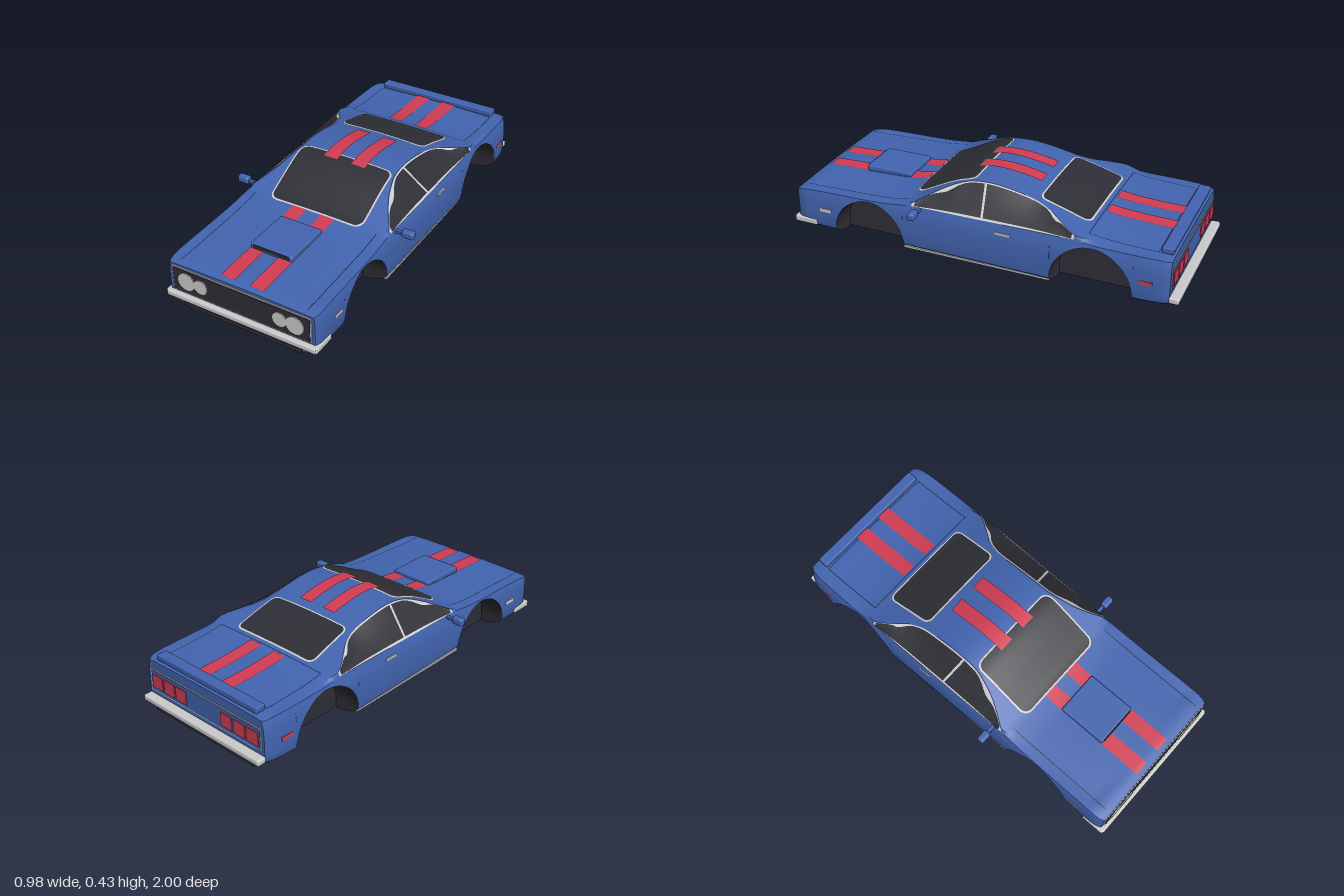
import * as THREE from 'three';
import { toCreasedNormals } from 'three/addons/utils/BufferGeometryUtils.js';
import { RoundedBoxGeometry } from 'three/addons/geometries/RoundedBoxGeometry.js';

const mat = (name, color) => Object.assign(new THREE.MeshStandardMaterial({ color, side: THREE.DoubleSide }), { name });

// smooth interpolation through [key, value] pairs with ascending keys
function curve(table) {
  const n = table.length;
  const slope = i => {
    const a = table[Math.max(i - 1, 0)], b = table[Math.min(i + 1, n - 1)];
    return (b[1] - a[1]) / (b[0] - a[0]);
  };
  return k => {
    if (k <= table[0][0]) return table[0][1];
    if (k >= table[n - 1][0]) return table[n - 1][1];
    let i = 0;
    while (k > table[i + 1][0]) i++;
    const h = table[i + 1][0] - table[i][0], t = (k - table[i][0]) / h, t2 = t * t, t3 = t2 * t;
    return table[i][1] * (2 * t3 - 3 * t2 + 1) + table[i + 1][1] * (3 * t2 - 2 * t3)
      + h * (slope(i) * (t3 - 2 * t2 + t) + slope(i + 1) * (t3 - t2));
  };
}

// body curves along z: half width, belt height, centre height, roof edge
const BACK = -0.955, FRONT = 0.975;
const halfWidth = curve([[BACK, 0.385], [-0.93, 0.402], [-0.85, 0.413], [-0.6, 0.416], [-0.3, 0.412], [0, 0.408],
  [0.5, 0.403], [0.9, 0.402], [0.95, 0.398], [FRONT, 0.387]]);
const beltY = curve([[BACK, 0.262], [-0.9, 0.27], [-0.6, 0.275], [-0.5, 0.284], [0, 0.277], [0.33, 0.272],
  [0.5, 0.256], [0.9, 0.246], [FRONT, 0.235]]);
const centreY = curve([[BACK, 0.27], [-0.9, 0.279], [-0.75, 0.283], [-0.6, 0.293], [-0.5, 0.312], [-0.4, 0.343],
  [-0.3, 0.372], [-0.2, 0.396], [-0.1, 0.413], [-0.02, 0.419], [0.06, 0.413], [0.12, 0.399], [0.2, 0.364],
  [0.27, 0.327], [0.34, 0.292], [0.4, 0.278], [0.5, 0.267], [0.93, 0.251], [FRONT, 0.242]]);
const roofX = curve([[BACK, 0.35], [-0.6, 0.37], [-0.5, 0.388], [-0.4, 0.33], [-0.35, 0.295], [-0.28, 0.268],
  [-0.2, 0.262], [0.05, 0.262], [0.13, 0.28], [0.2, 0.305], [0.28, 0.35], [0.33, 0.38], [0.4, 0.365],
  [0.5, 0.35], [FRONT, 0.34]]);
const roofY = z => centreY(z) - (z > 0.9 || z < -0.9 ? 0.005 : 0.009);
const bulge = curve([[0.012, 0.74], [0.02, 0.82], [0.03, 0.89], [0.045, 0.955], [0.06, 0.99], [0.08, 1], [0.2, 1],
  [0.24, 0.985], [0.27, 0.965], [0.29, 0.955]]);
const sideX = (y, z) => halfWidth(z) * bulge(y);
const topY = (x, z) => roofY(z) + (centreY(z) - roofY(z)) * (1 - (x / roofX(z)) ** 2);

// wheel arches and lower edge
const arches = [{ z: 0.567, y: 0.055, r: 0.19 }, { z: -0.588, y: 0.06, r: 0.2 }];
const archAt = z => arches.find(a => Math.abs(z - a.z) <= a.r + 1e-6);
function lowY(z) {
  const a = archAt(z);
  if (a) return a.y + Math.sqrt(Math.max(0, a.r ** 2 - (z - a.z) ** 2));
  return Math.abs(z) > 0.9 ? 0.022 : 0.012;
}
const archZs = a => Array.from({ length: 33 }, (_, i) => a.z - a.r * Math.cos(Math.PI * i / 32));
const columns = Array.from({ length: 81 }, (_, i) => BACK + (FRONT - BACK) * i / 80)
  .concat(...arches.map(a => [a.z - a.r - 0.001, ...archZs(a), a.z + a.r + 0.001]), [-0.94, 0.96])
  .sort((a, b) => a - b);

// surface from rows of points
function skin(rows) {
  const w = rows[0].length, index = [];
  for (let i = 0; i < rows.length - 1; i++) for (let j = 0; j < w - 1; j++) {
    const a = i * w + j, c = a + w;
    index.push(a, a + 1, c, a + 1, c + 1, c);
  }
  const g = new THREE.BufferGeometry();
  g.setAttribute('position', new THREE.Float32BufferAttribute(rows.flat(2), 3));
  g.setIndex(index);
  return toCreasedNormals(g, 0.5);
}
const steps = n => Array.from({ length: n + 1 }, (_, i) => i / n);
const eased = n => steps(n).map(t => 0.5 - 0.5 * Math.cos(Math.PI * t));

// outline of the body across one z station
function section(z) {
  const lo = lowY(z), by = beltY(z), bx = sideX(by, z), rx = roofX(z), ry = roofY(z);
  const half = [0, 0.03, 0.07, 0.12, 0.18, 0.3, 0.5, 0.7, 0.85, 0.93, 1].map(s => {
    const y = lo + (by - lo) * s;
    return [sideX(y, z), y, z];
  });
  for (const t of [0.33, 0.67, 1]) half.push([bx + (rx - bx) * t, by + (ry - by) * t, z]);
  for (let i = 1; i <= 8; i++) half.push([rx * (1 - i / 8), topY(rx * (1 - i / 8), z), z]);
  return half.concat(half.slice(0, -1).reverse().map(([x, y, zz]) => [-x, y, zz]));
}

// thin patch lying on the hood, roof or boot
const topPatch = (z0, z1, left, right, lift) => skin(eased(24).map(u => {
  const z = z0 + (z1 - z0) * u, a = left(z), b = right(z);
  return steps(8).map(v => {
    const x = a + (b - a) * v;
    return [x, topY(x, z) + lift, z];
  });
}));
// rounded window outline: half width goes from w0 to w1
function windowPatch(z0, z1, w0, w1, r, lift) {
  const hw = z => {
    const d = Math.min(r, z - z0, z1 - z);
    return w0 + (w1 - w0) * (z - z0) / (z1 - z0) - r + Math.sqrt(Math.max(0, r * r - (r - d) ** 2));
  };
  return topPatch(z0, z1, hw, z => -hw(z), lift);
}
// point on the cabin side, t from belt to roof edge
function cabinPoint(s, z, t, lift) {
  const by = beltY(z), bx = sideX(by, z);
  return [s * (bx + (roofX(z) - bx) * t + lift * 0.75), by + (roofY(z) - by) * t + lift * 0.65, z];
}
const cabinPatch = (s, us, zAt, tLo, tHi, lift) => skin(us.map(u => {
  const row = steps(8).map(v => {
    const z = zAt(u, v), t = tLo(z) + (tHi(z) - tLo(z)) * v;
    return cabinPoint(s, z, t, lift);
  });
  return s > 0 ? row : row.reverse();
}));

export function createModel() {
  const car = new THREE.Group();
  car.name = 'carBody';
  const blue = mat('bluePaint', 0x4264b0), red = mat('redPaint', 0xd23c52), dark = mat('darkGlass', 0x2e2e36),
    silver = mat('silverTrim', 0xcbcbcb), line = mat('panelGap', 0x1c2440);
  const add = (name, geometry, material) => {
    const m = new THREE.Mesh(geometry, material);
    m.name = name;
    car.add(m);
    return m;
  };
  const box = (name, material, x0, x1, y0, y1, z0, z1, r = 0) => {
    const size = [x1 - x0, y1 - y0, z1 - z0];
    const g = r ? new RoundedBoxGeometry(...size, 3, r) : new THREE.BoxGeometry(...size);
    add(name, g, material).position.set((x0 + x1) / 2, (y0 + y1) / 2, (z0 + z1) / 2);
  };
  const sideBox = (name, material, s, x0, x1, ...rest) =>
    box(name, material, Math.min(s * x0, s * x1), Math.max(s * x0, s * x1), ...rest);

  // painted shell with closed ends
  add('bodyShell', skin(columns.map(section)), blue);
  for (const [name, z] of [['nosePanel', FRONT], ['tailPanel', BACK]]) {
    const shape = new THREE.Shape(section(z).map(p => new THREE.Vector2(z > 0 ? p[0] : -p[0], p[1])));
    const m = add(name, new THREE.ShapeGeometry(shape), blue);
    m.position.z = z;
    if (z < 0) m.rotation.y = Math.PI;
  }

  // underside, narrowed between the wheel wells
  add('floorPan', skin(columns.map(z => {
    const end = Math.abs(z) > 0.9, hx = archAt(z) ? 0.27 : sideX(lowY(z), z);
    const edge = end ? 0.022 : 0.012, mid = end ? 0.01 : 0;
    return [[-hx, edge, z], [-0.16, mid, z], [0.16, mid, z], [hx, edge, z]];
  })), dark);

  // wheel wells: arched liner and inner wall
  for (const a of arches) for (const s of [1, -1]) {
    const order = row => (s > 0 ? row : row.reverse());
    const zs = archZs(a), rim = z => sideX(lowY(z), z) - 0.002;
    const arch = zs.map(z => order([[s * 0.27, lowY(z), z], [s * rim(z), lowY(z), z]]));
    add('wheelWellLiner', skin(arch), dark);
    add('wheelWellWall', skin(zs.map(z => order([[s * 0.27, 0.012, z], [s * 0.27, lowY(z), z]]))), dark);
    for (const z of [zs[0], zs[32]])
      add('wheelWellEnd', skin([0.012, 0.03, 0.045, a.y].map(y =>
        order([[s * 0.27, y, z], [s * sideX(y, z), y, z]]))), dark);
  }

  // windscreen and rear window with bright surrounds
  add('windscreenTrim', windowPatch(0.052, 0.378, 0.257, 0.257, 0.045, 0.003), silver);
  add('windscreen', windowPatch(0.06, 0.37, 0.249, 0.249, 0.04, 0.005), dark);
  add('rearWindowTrim', windowPatch(-0.53, -0.27, 0.252, 0.242, 0.035, 0.003), silver);
  add('rearWindow', windowPatch(-0.522, -0.278, 0.244, 0.234, 0.03, 0.005), dark);

  for (const s of [1, -1]) {
    // side windows, wider trim beside the pillars
    const pillar = z => 0.17 * Math.exp(-(((z - 0.18) / 0.05) ** 2)) + 0.17 * Math.exp(-(((z + 0.385) / 0.03) ** 2));
    const span = (a, b) => u => a + (b - a) * u;
    add('sideWindowTrim', cabinPatch(s, eased(40), span(-0.5, 0.33), () => 0, () => 0.99, 0.003), silver);
    add('sideWindow', cabinPatch(s, eased(40), span(-0.488, 0.315), () => 0.06, z => 0.95 - pillar(z), 0.005), dark);
    add('doorPillar', cabinPatch(s, [0, 1], (u, v) => -0.046 + 0.03 * v + 0.012 * u, () => 0.04, () => 0.95, 0.007), silver);

    // door mirror
    sideBox('mirrorHousing', blue, s, 0.43, 0.492, 0.25, 0.289, 0.268, 0.306, 0.012);
    sideBox('mirrorStem', blue, s, 0.385, 0.435, 0.258, 0.272, 0.278, 0.296);

    // side trim, handles and marker lamps
    sideBox('rockerTrim', silver, s, 0.385, 0.4, 0.04, 0.05, -0.385, 0.375);
    sideBox('doorHandle', silver, s, 0.398, 0.409, 0.229, 0.24, -0.19, -0.115);
    sideBox('frontMarker', silver, s, 0.397, 0.406, 0.141, 0.159, 0.78, 0.842);
    sideBox('rearMarker', red, s, 0.408, 0.416, 0.141, 0.159, -0.88, -0.81);

    // racing stripes
    const a = s * 0.077 + 0.037, b = s * 0.077 - 0.037;
    for (const [z0, z1] of [[0.378, 0.95], [-0.23, 0.095], [-0.89, -0.56]])
      add('stripe', topPatch(z0, z1, () => a, () => b, z1 < 0.2 && z1 > 0 ? 0.007 : 0.004), red);

    // hood and boot lid gaps
    for (const [z0, z1, x] of [[0.37, 0.95, 0.338], [-0.88, -0.55, 0.332]])
      add('panelGap', topPatch(z0, z1, () => s * x + 0.002, () => s * x - 0.002, 0.002), line);

    // headlamps
    for (const [x, r] of [[0.29, 0.047], [0.212, 0.038]]) {
      const lamp = add('headlamp', new THREE.CylinderGeometry(r, r, 0.006, 32), silver);
      lamp.rotation.x = Math.PI / 2;
      lamp.position.set(s * x, 0.161, FRONT + 0.009);
    }
    // tail lamps
    for (let i = 0; i < 3; i++)
      sideBox('tailLamp', red, s, 0.116 + i * 0.083, 0.188 + i * 0.083, 0.128, 0.198, BACK - 0.009, BACK - 0.003);
    // front bumper ends
    sideBox('bumperEnd', silver, s, 0.385, 0.407, 0.054, 0.086, 0.87, 0.995, 0.008);
  }
  for (const z of [-0.55, -0.88])
    add('panelGap', topPatch(z - 0.002, z + 0.002, () => 0.332, () => -0.332, 0.002), line);

  // grille and tail panel frames
  box('grilleFrame', silver, -0.372, 0.372, 0.092, 0.228, FRONT - 0.001, FRONT + 0.004);
  box('grille', dark, -0.365, 0.365, 0.099, 0.221, FRONT, FRONT + 0.007);
  box('tailFrame', silver, -0.37, 0.37, 0.105, 0.222, BACK - 0.003, BACK + 0.001);
  box('tailInset', blue, -0.364, 0.364, 0.111, 0.216, BACK - 0.005, BACK);

  // bumpers and lower lips
  box('frontBumper', silver, -0.402, 0.402, 0.054, 0.086, 0.962, 1, 0.01);
  box('rearBumper', silver, -0.39, 0.39, 0.054, 0.086, -1, -0.95, 0.01);
  box('frontLip', dark, -0.32, 0.32, 0.016, 0.038, 0.92, 0.982);
  box('rearLip', dark, -0.33, 0.33, 0.016, 0.038, -0.972, -0.92);

  // hood scoop and boot spoiler
  box('hoodScoop', blue, -0.113, 0.113, 0.25, 0.289, 0.478, 0.73, 0.009);
  box('scoopMouth', dark, -0.096, 0.096, 0.267, 0.284, 0.725, 0.733);
  box('bootSpoiler', blue, -0.332, 0.332, 0.272, 0.302, -0.945, -0.89, 0.006);
  return car;
}
